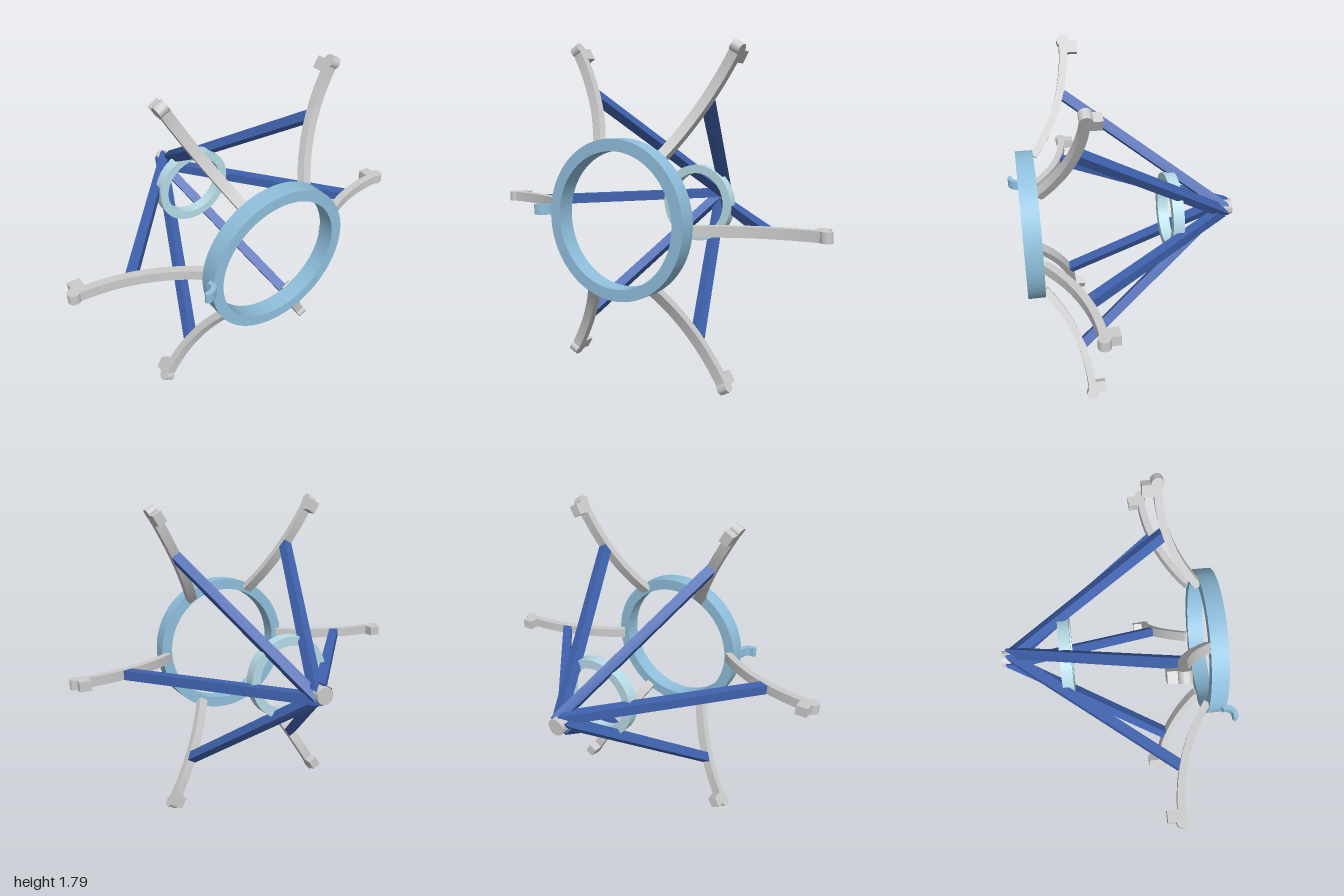
import * as THREE from 'three';
import { toCreasedNormals } from 'three/addons/utils/BufferGeometryUtils.js';

const material = (color) => new THREE.MeshStandardMaterial({ color });
const GREY = material(0xcccccc);
const BLUE = material(0x3f62ae);
const SKY = material(0x8fbfdc);
const PALE = material(0xb8dce8);
const WIDTH = 0.053; // tangential width of arms and struts
const GAP = 0.003;   // clearance from the radial plane

function add(parent, name, geometry, mat) {
  const mesh = new THREE.Mesh(toCreasedNormals(geometry, 0.5), mat);
  mesh.name = name;
  parent.add(mesh);
  return mesh;
}

// Plate drawn as (radius, z), extruded sideways to one side of the radial plane
function plate(shape) {
  return new THREE.ExtrudeGeometry(shape, { depth: WIDTH, bevelEnabled: false, curveSegments: 20 })
    .rotateX(Math.PI / 2)
    .translate(0, -GAP, 0);
}

const polygon = (points) => new THREE.Shape(points.map(([r, z]) => new THREE.Vector2(r, z)));

// Flat ring facing z
function ring(outer, inner, z0, z1) {
  const shape = new THREE.Shape().absarc(0, 0, outer, 0, Math.PI * 2, false);
  shape.holes.push(new THREE.Path().absarc(0, 0, inner, 0, Math.PI * 2, true));
  return new THREE.ExtrudeGeometry(shape, { depth: z1 - z0, bevelEnabled: false, curveSegments: 64 })
    .translate(0, 0, z0);
}

// Curved band from the ring out to the tip
function armShape() {
  const cx = 0.968, R = 0.962, cz = 0.25 + R, half = 0.02;
  const end = -Math.PI / 2, start = end - 0.675;
  const shape = new THREE.Shape();
  shape.absarc(cx, cz, R + half, start, end, false);
  shape.absarc(cx, cz, R - half, end, start, true);
  return shape;
}

// Small hook with a rounded tip
function hookShape() {
  const r = 0.45, z = 0.555, q = Math.PI / 2;
  const shape = new THREE.Shape();
  shape.absarc(r, z, 0.058, Math.PI + 0.4, q, true);
  shape.absarc(r + 0.008, z + 0.045, 0.013, q, -q, true);
  shape.absarc(r, z, 0.032, q, Math.PI + 0.4, false);
  return shape;
}

export function createModel() {
  const model = new THREE.Group();
  model.name = 'ringFrame';
  const body = new THREE.Group();
  body.name = 'frame';
  body.position.y = 0.895;
  model.add(body);

  add(body, 'frontRing', ring(0.4, 0.34, 0.465, 0.557), SKY);
  add(body, 'innerRing', ring(0.222, 0.174, -0.298, -0.237), PALE);
  add(body, 'hub', new THREE.CylinderGeometry(0.045, 0.045, 0.088, 32)
    .rotateX(Math.PI / 2).translate(0, 0, -0.576), GREY);

  const arm = plate(armShape());
  const tip = plate(new THREE.Shape().absarc(0.968, 0.25, 0.031, 0, Math.PI * 2, false));
  const block = plate(polygon([[0.904, 0.175], [0.967, 0.175], [0.967, 0.245], [0.904, 0.245]]));
  const strut = plate(polygon([[0, -0.6], [0.02, -0.59], [0.705, 0.262], [0.655, 0.282], [0, -0.53]]));

  // Six legs around the axis, each with arm, tip and strut
  for (let i = 0; i < 6; i++) {
    const leg = new THREE.Group();
    leg.name = `leg${i + 1}`;
    leg.rotation.z = (i * Math.PI) / 3;
    add(leg, 'arm', arm, GREY);
    add(leg, 'armTip', tip, GREY);
    add(leg, 'tipBlock', block, GREY);
    add(leg, 'strut', strut, BLUE);
    body.add(leg);
  }

  // Hook on the right side of the front ring
  add(body, 'hook', plate(hookShape()), SKY).rotation.z = Math.PI;

  return model;
}
